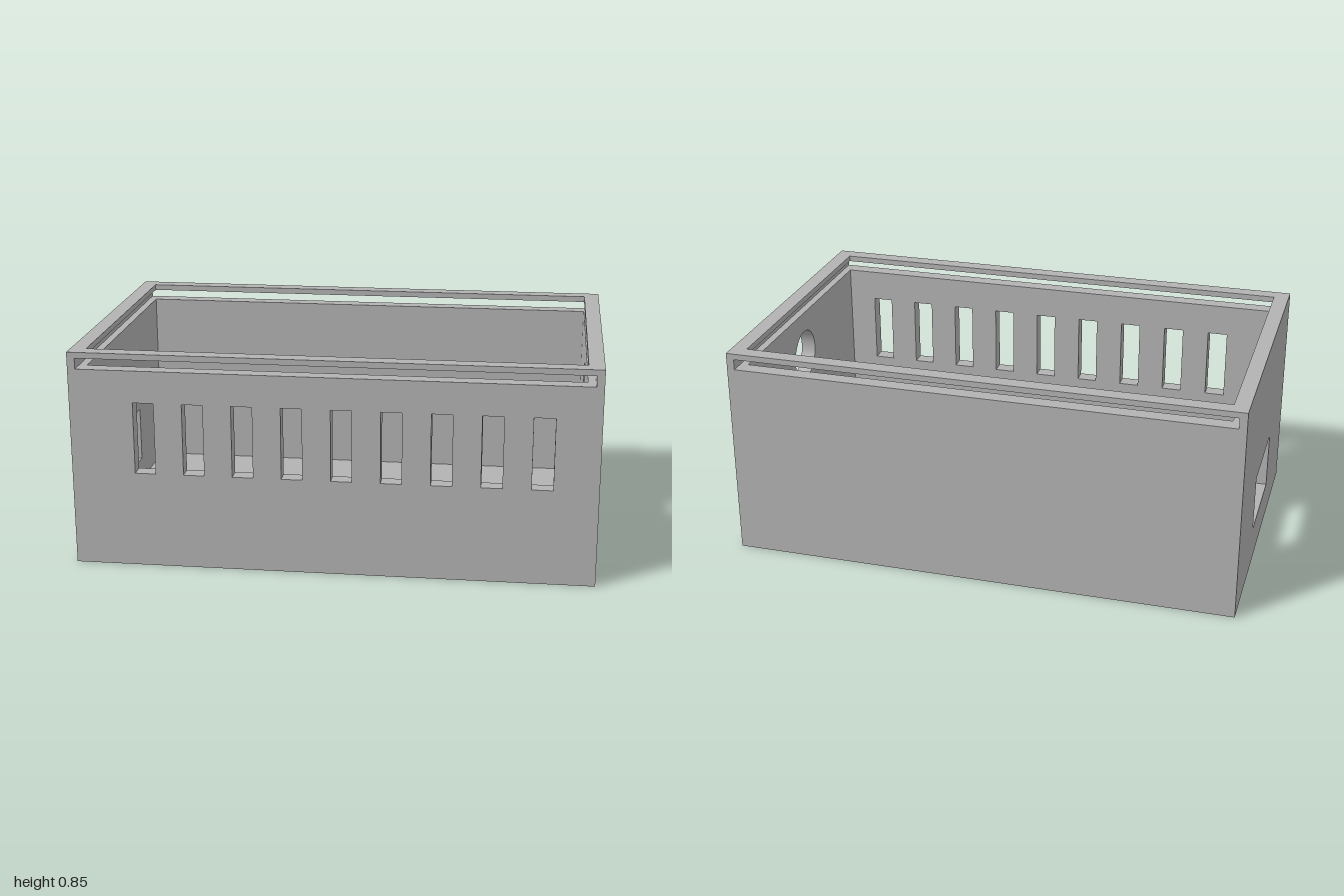
import * as THREE from 'three';

const W = 1, H = 0.845, D = 0.607;       // half width, height, half depth
const T = 0.06;                          // wall thickness
const GROOVE = 0.03;                     // depth of the lid groove in the side walls
const SLOT_LOW = 0.78, SLOT_HIGH = 0.822; // lid slot heights
const IN_X = W - T, IN_Z = D - T;

function rect(Type, x0, x1, y0, y1) {
  const s = new Type();
  s.moveTo(x0, y0);
  s.lineTo(x1, y0);
  s.lineTo(x1, y1);
  s.lineTo(x0, y1);
  s.closePath();
  return s;
}

// Flat panel with cut-outs, extruded along z
function panel(x0, x1, y0, y1, holes, depth) {
  const shape = rect(THREE.Shape, x0, x1, y0, y1);
  shape.holes.push(...holes);
  return new THREE.ExtrudeGeometry(shape, { depth, bevelEnabled: false, curveSegments: 48 });
}

export function createModel() {
  const grey = new THREE.MeshStandardMaterial({ color: 0xb2b2b2 });
  grey.name = 'grey plastic';
  const model = new THREE.Group();
  model.name = 'enclosure';
  const add = (name, geometry, parent = model) => {
    const mesh = new THREE.Mesh(geometry, grey);
    mesh.name = name;
    parent.add(mesh);
    return mesh;
  };

  // Front and back walls, both cut through by the lid slot
  const lidSlot = () => rect(THREE.Path, -W + GROOVE, W - GROOVE, SLOT_LOW, SLOT_HIGH);
  const vents = [];
  for (let i = 0; i < 9; i++) {
    const x = 0.038 + (i - 4) * 0.188;
    vents.push(rect(THREE.Path, x - 0.04, x + 0.04, 0.375, 0.655));
  }
  add('frontWall', panel(-W, W, 0, H, [lidSlot(), ...vents], T)).position.z = IN_Z;
  add('backWall', panel(-W, W, 0, H, [lidSlot()], T)).position.z = -D;

  // Side walls: outer skin, inner skin below the groove, lip above it
  function sideWall(name, side, makeHole) {
    const wall = new THREE.Group();
    wall.name = name;
    model.add(wall);
    const layer = (part, xInner, thickness, y0, y1, holes) => {
      const geometry = panel(-IN_Z, IN_Z, y0, y1, holes, thickness).rotateY(Math.PI / 2);
      add(part, geometry, wall).position.x = side > 0 ? xInner : -xInner - thickness;
    };
    layer('outerSkin', W - GROOVE, GROOVE, 0, H, [makeHole()]);
    layer('innerSkin', IN_X, T - GROOVE, 0, SLOT_LOW, [makeHole()]);
    layer('lip', IN_X, T - GROOVE, SLOT_HIGH, H, []);
  }
  sideWall('cableHoleWall', 1, () => new THREE.Path().absarc(0, 0.595, 0.104, 0, Math.PI * 2, true));
  sideWall('socketWall', -1, () => rect(THREE.Path, -0.193, 0.193, 0.155, 0.377));

  // Floor between the walls
  add('floor', new THREE.BoxGeometry(2 * IN_X, T, 2 * IN_Z)).position.y = T / 2;

  return model;
}
